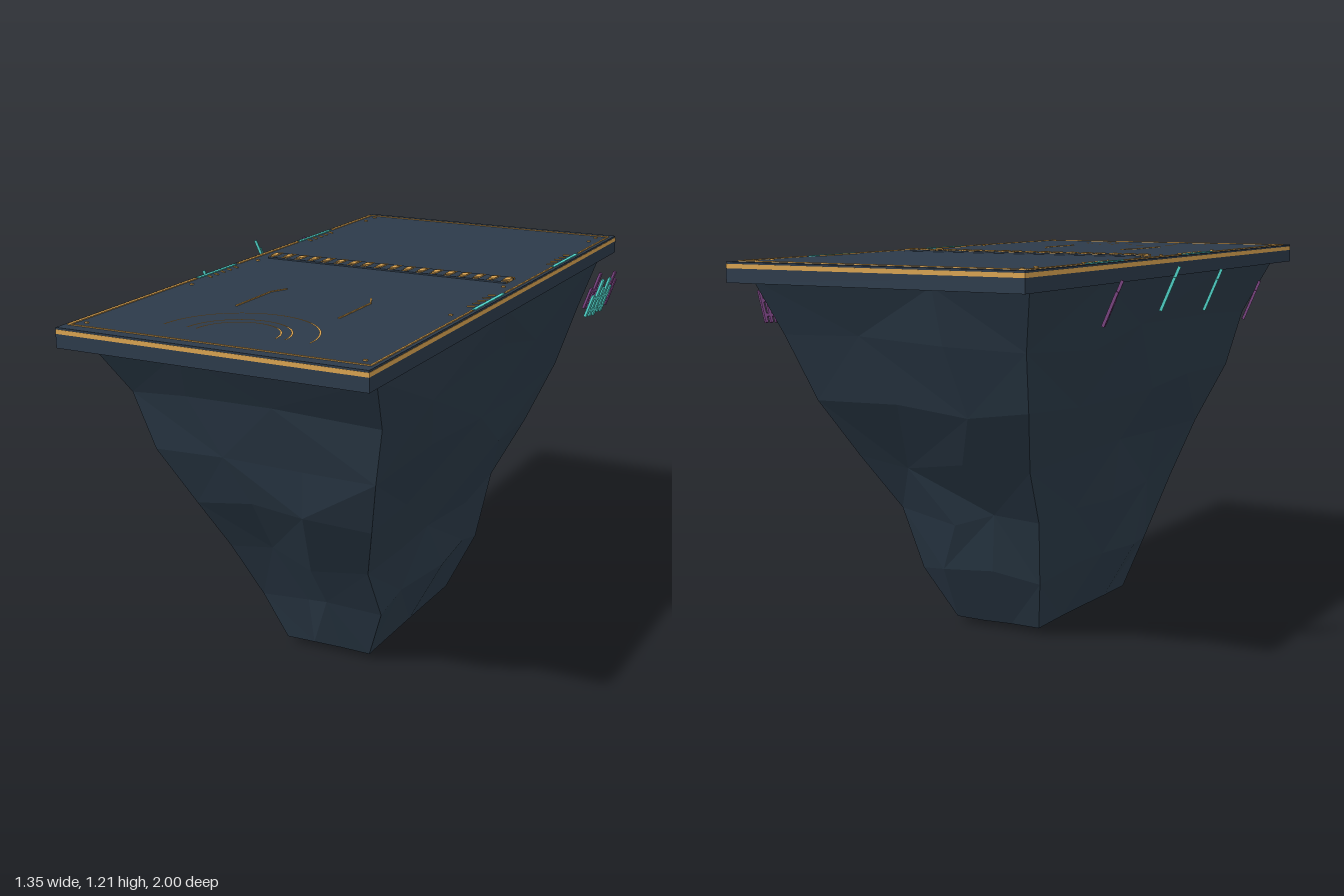
import * as THREE from 'three';

const mat = (name, color) => {
  const m = new THREE.MeshStandardMaterial({ color });
  m.name = name;
  return m;
};

// Straight-line lookup of a side's offset at height y
const along = (profile, y) => {
  let i = 1;
  while (i < profile.length - 1 && profile[i][0] < y) i++;
  const [ya, a] = profile[i - 1], [yb, b] = profile[i];
  return a + (b - a) * THREE.MathUtils.clamp((y - ya) / (yb - ya), 0, 1);
};

export function createModel() {
  const model = new THREE.Group();
  model.name = 'floatingPlatform';
  const rockMat = mat('slateRock', 0x2b3a48);
  rockMat.flatShading = true;
  const deckMat = mat('deckSlate', 0x2c3a4a);
  const gold = mat('goldInlay', 0xd8a250);
  const teal = mat('tealLight', 0x50d4ca);
  const purple = mat('purpleLight', 0x7a4482);

  const CX = -0.007, TOP = 1.204;
  const box = (name, material, w, h, d, x, y, z, parent = model) => {
    const m = new THREE.Mesh(new THREE.BoxGeometry(w, h, d), material);
    m.name = name;
    m.position.set(x, y, z);
    parent.add(m);
    return m;
  };
  let seed = 11;
  const jitter = () => {
    seed = (seed * 16807) % 2147483647;
    return (seed / 2147483647) * 2 - 1;
  };

  // Faceted rock: side profiles as [height, offset]
  const west = [[0.015, -0.16], [0.16, -0.22], [0.4, -0.27], [0.447, -0.29],
    [0.593, -0.31], [0.71, -0.367], [0.967, -0.42], [1.146, -0.468]];
  const east = [[0.015, 0.145], [0.095, 0.167], [0.21, 0.24], [0.4, 0.247],
    [0.58, 0.324], [0.71, 0.37], [0.91, 0.425], [1.146, 0.465]];
  const front = [[0.02, 0.315], [0.2, 0.396], [0.31, 0.48], [0.455, 0.535],
    [0.61, 0.663], [0.855, 0.78], [1.0, 0.8], [1.146, 0.905]];
  const back = [[0.03, -0.305], [0.21, -0.417], [0.4, -0.49], [0.58, -0.61],
    [0.78, -0.75], [1.146, -0.91]];
  const levels = [0.02, 0.2, 0.4, 0.59, 0.78, 0.97, 1.146];
  const sides = [3, 4, 3, 4], count = 14;
  const outward = [[0, 1], [1, 0], [0, -1], [-1, 0]];
  const pos = [], index = [];
  levels.forEach((level, r) => {
    const loose = r === 0 ? 0.1 : r === levels.length - 1 ? 0 : 1;
    sides.forEach((n, s) => {
      for (let i = 0; i < n; i++) {
        const inner = i > 0;
        const y = level + 0.035 * jitter() * loose * (inner ? 1 : 0.3);
        const inset = inner ? 0 : 0.014 * loose;
        const x0 = along(west, y) + inset, x1 = along(east, y) - inset;
        const z0 = along(back, y) + inset, z1 = along(front, y) - inset;
        const c = [[x0, z1], [x1, z1], [x1, z0], [x0, z0]];
        const a = c[s], b = c[(s + 1) % 4];
        const t = inner ? (i + 0.25 * jitter() * loose) / n : 0;
        const push = inner ? (0.02 * jitter() - 0.008) * loose : 0;
        pos.push(
          a[0] + (b[0] - a[0]) * t + outward[s][0] * push,
          y,
          a[1] + (b[1] - a[1]) * t + outward[s][1] * push);
      }
    });
  });
  for (let r = 0; r < levels.length - 1; r++) {
    for (let i = 0; i < count; i++) {
      const a = r * count + i, b = r * count + (i + 1) % count;
      const c = b + count, d = a + count;
      if ((i + r) % 2) index.push(a, b, c, a, c, d);
      else index.push(a, b, d, b, c, d);
    }
  }
  pos.push(0.07, 0, 0.18);
  for (let i = 0; i < count; i++) index.push(levels.length * count, (i + 1) % count, i);
  const indexed = new THREE.BufferGeometry();
  indexed.setAttribute('position', new THREE.Float32BufferAttribute(pos, 3));
  indexed.setIndex(index);
  const rockGeo = indexed.toNonIndexed();
  rockGeo.computeVertexNormals();
  const rock = new THREE.Mesh(rockGeo, rockMat);
  rock.name = 'rockBase';
  model.add(rock);

  // Deck slab, gold edge band and top plate
  box('deckSlab', deckMat, 0.996, 0.042, 2, CX, 1.164, 0);
  box('edgeBand', gold, 0.996, 0.013, 2, CX, 1.1915, 0);
  box('deckTop', deckMat, 0.994, 0.006, 1.998, CX, 1.201, 0);

  // Thin inlaid strip between two points on the deck
  const strip = (name, material, xa, za, xb, zb, w, h = 0.003) => {
    const m = box(name, material, w, h, Math.hypot(xb - xa, zb - za),
      (xa + xb) / 2, TOP + h / 2, (za + zb) / 2);
    m.rotation.y = Math.atan2(xb - xa, zb - za);
  };

  // Border lines, the long ones broken by the side lights
  const L = -0.489, R = 0.475;
  for (const z of [-0.962, 0.958]) strip('endLine', gold, L, z, R, z, 0.005);
  for (const [za, zb] of [[-0.962, -0.64], [-0.38, 0.03], [0.29, 0.958]]) {
    strip('rightBorder', gold, L, za, L, zb, 0.011);
    strip('leftBorder', gold, R, za, R, zb, 0.006);
  }

  // Side lights with tick marks, and studs
  for (const side of [-1, 1]) {
    const x = CX + side * 0.482;
    for (const z of [-0.505, 0.165]) {
      strip('sideLight', teal, x, z - 0.115, x, z + 0.115, 0.012, 0.003);
      for (let i = -2; i <= 2; i++) {
        const tz = z + i * 0.04;
        strip('sideTick', gold, CX + side * 0.468, tz - 0.005, CX + side * 0.448, tz + 0.006, 0.006);
      }
    }
    for (const z of [-0.925, -0.85, -0.04, 0.37, 0.92])
      box('stud', gold, 0.01, 0.004, 0.008, CX + side * 0.447, TOP + 0.002, z);
  }

  // Cross band: a low strip with a row of bars between two dashed lines
  box('crossStrip', deckMat, 0.87, 0.005, 0.076, CX, TOP + 0.0025, -0.128);
  for (let i = 0; i < 18; i++) {
    const x = CX + (i - 8.5) * 0.0502;
    box('crossBar', gold, 0.02, 0.009, 0.036, x, TOP + 0.0045, -0.128);
    for (const z of [-0.16, -0.097])
      box('crossDash', gold, 0.02, 0.007, 0.006, x, TOP + 0.0035, z);
  }

  // Bent guide lines
  for (const side of [-1, 1]) {
    const x = CX + side * 0.173;
    strip('guideLine', gold, x, 0.55, x, 0.345, 0.005);
    strip('guideBend', gold, x, 0.345, x - side * 0.026, 0.29, 0.005);
  }

  // Half-circle inlays
  for (const r of [0.237, 0.159, 0.128]) {
    const arc = new THREE.Mesh(new THREE.RingGeometry(r - 0.003, r + 0.003, 40, 1, 0, Math.PI), gold);
    arc.name = 'arcInlay';
    arc.rotation.x = -Math.PI / 2;
    arc.position.set(CX, TOP + 0.003, 0.84);
    model.add(arc);
  }

  // Floating signs: three upright strokes on a low crossbar, leaning out and turned
  const sign = (material, x, y, z) => {
    const g = new THREE.Group();
    g.name = 'floatingSign';
    [[-0.018, 0.105], [0, 0.138], [0.018, 0.08]].forEach(([sz, h]) =>
      box('signStroke', material, 0.009, h, 0.009, 0, h / 2 - 0.069, sz, g));
    box('signCrossbar', material, 0.009, 0.01, 0.045, 0, -0.045, 0, g);
    box('signCrossbar', material, 0.009, 0.01, 0.034, 0, 0.002, 0, g);
    g.position.set(x, y, z);
    g.rotation.set(0, -Math.sign(x) * 0.35, -Math.sign(x) * 0.39, 'YXZ');
    model.add(g);
  };
  sign(teal, 0.645, 1.128, -0.34);
  sign(purple, 0.562, 1.098, -0.565);
  sign(teal, 0.563, 1.062, -0.665);
  sign(purple, 0.558, 1.07, -0.735);
  sign(teal, -0.648, 1.128, -0.4);
  sign(teal, -0.61, 1.1, 0.01);
  sign(purple, -0.592, 1.1, -0.66);
  sign(purple, -0.59, 1.042, 0.395);
  return model;
}
